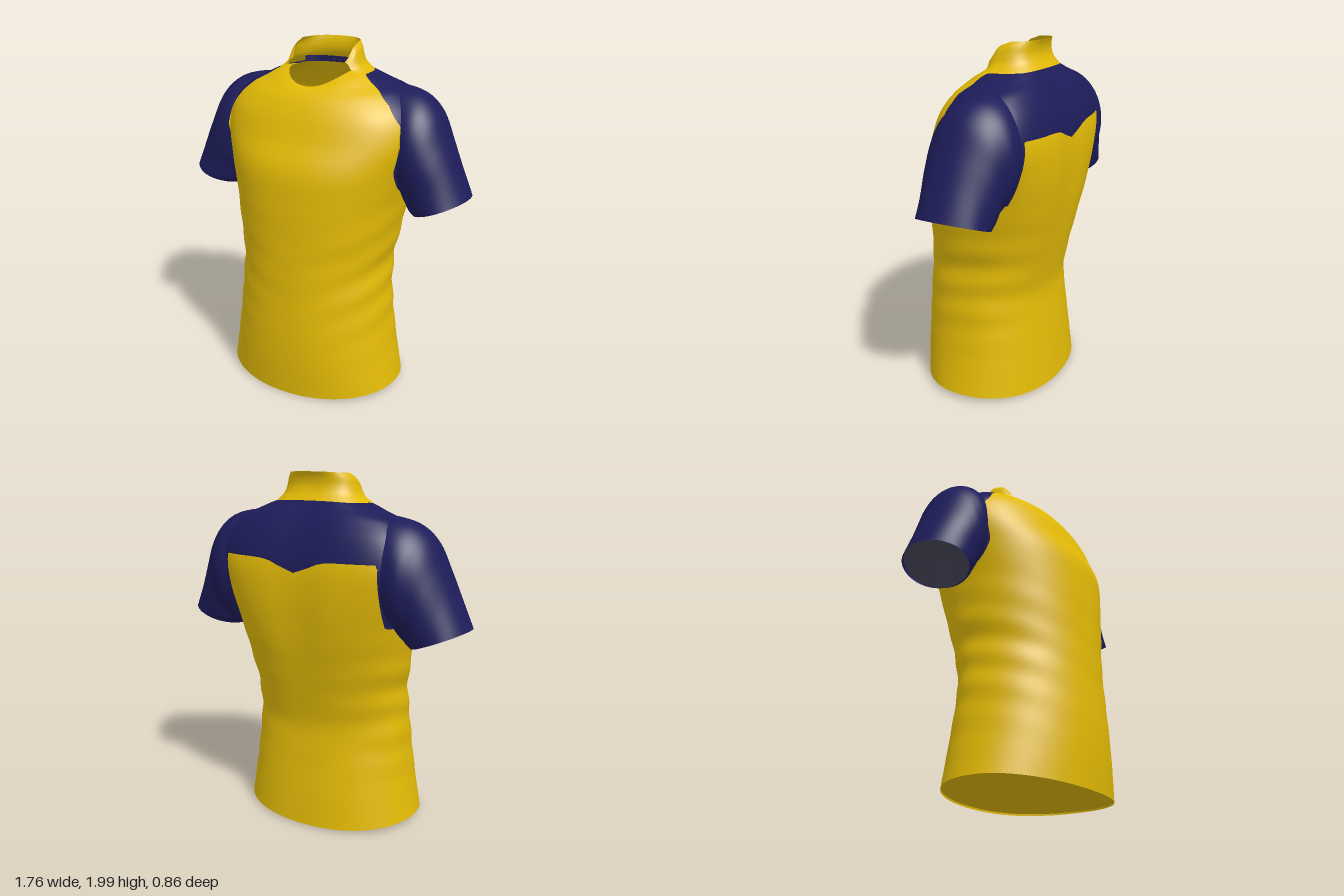
import * as THREE from 'three';

const mat = (name, color, side) => Object.assign(new THREE.MeshStandardMaterial({ color, side }), { name });

// Smooth interpolation through the rows of a table, t in 0..1
function sample(rows, t) {
  const p = t * (rows.length - 1), i = Math.min(Math.floor(p), rows.length - 2), f = p - i;
  const row = k => rows[Math.max(0, Math.min(rows.length - 1, k))];
  return rows[i].map((_, k) => {
    const a = row(i - 1)[k], b = row(i)[k], c = row(i + 1)[k], d = row(i + 2)[k];
    return b + 0.5 * f * (c - a + f * (2 * a - 5 * b + 4 * c - d + f * (3 * (b - c) + d - a)));
  });
}

// Linear lookup in [key, value] pairs
function lookup(table, key) {
  for (let i = 1; i < table.length; i++) {
    const [k0, v0] = table[i - 1], [k1, v1] = table[i];
    if (key <= k1) return v0 + (v1 - v0) * Math.max(0, (key - k0) / (k1 - k0));
  }
  return table[table.length - 1][1];
}

const spow = (v, n) => Math.sign(v) * Math.abs(v) ** (2 / n);

// Surface from point(u, v): v runs along each loop, u from loop to loop
function grid(point, nu, nv, closed = true, flip = false) {
  const pos = [], index = [], cols = closed ? nv : nv + 1;
  for (let i = 0; i <= nu; i++) for (let j = 0; j < cols; j++) pos.push(...point(i / nu, j / nv));
  for (let i = 0; i < nu; i++) for (let j = 0; j < nv; j++) {
    const k = (j + 1) % cols;
    const a = i * cols + j, b = i * cols + k, c = a + cols, d = b + cols;
    if (flip) index.push(a, c, b, b, c, d);
    else index.push(a, b, c, b, d, c);
  }
  const g = new THREE.BufferGeometry();
  g.setAttribute('position', new THREE.Float32BufferAttribute(pos, 3));
  g.setIndex(index);
  g.computeVertexNormals();
  return g;
}

// Keep the part of a surface where sign * field >= 0, cut cleanly along the seam
function cut(geo, field, sign) {
  const P = geo.attributes.position, N = geo.attributes.normal, pos = [], nor = [];
  const idx = geo.index.array;
  const vert = i => {
    const p = [P.getX(i), P.getY(i), P.getZ(i)];
    return { v: [...p, N.getX(i), N.getY(i), N.getZ(i)], f: sign * field(...p) };
  };
  for (let t = 0; t < idx.length; t += 3) {
    const tri = [vert(idx[t]), vert(idx[t + 1]), vert(idx[t + 2])], poly = [];
    tri.forEach((a, i) => {
      const b = tri[(i + 1) % 3];
      if (a.f >= 0) poly.push(a.v);
      if ((a.f >= 0) !== (b.f >= 0)) {
        const s = a.f / (a.f - b.f);
        poly.push(a.v.map((x, k) => x + (b.v[k] - x) * s));
      }
    });
    for (let i = 1; i + 1 < poly.length; i++) for (const q of [poly[0], poly[i], poly[i + 1]]) {
      pos.push(q[0], q[1], q[2]);
      nor.push(q[3], q[4], q[5]);
    }
  }
  const g = new THREE.BufferGeometry();
  g.setAttribute('position', new THREE.Float32BufferAttribute(pos, 3));
  g.setAttribute('normal', new THREE.Float32BufferAttribute(nor, 3));
  return g;
}

// Torso loops: side y, half width, mid z, front y, front z, back y, back z, front and back squareness
const TORSO = [
  [0.04, 0.54, 0.02, 0.01, 0.42, 0.015, -0.38, 2.1, 2.2],
  [0.2, 0.51, 0.01, 0.2, 0.43, 0.2, -0.36, 2.1, 2.2],
  [0.4, 0.48, 0, 0.4, 0.43, 0.4, -0.335, 2.1, 2.2],
  [0.6, 0.46, -0.01, 0.6, 0.42, 0.6, -0.315, 2.1, 2.2],
  [0.78, 0.45, -0.03, 0.78, 0.415, 0.78, -0.345, 2.1, 2.3],
  [0.95, 0.475, -0.05, 0.95, 0.41, 0.95, -0.38, 2.15, 2.4],
  [1.15, 0.505, -0.08, 1.15, 0.405, 1.15, -0.415, 2.2, 2.7],
  [1.33, 0.55, -0.1, 1.35, 0.385, 1.35, -0.432, 2.25, 3],
  [1.5, 0.6, -0.12, 1.5, 0.315, 1.52, -0.425, 2.3, 3.1],
  [1.64, 0.58, -0.14, 1.62, 0.265, 1.66, -0.385, 2.3, 3],
  [1.745, 0.49, -0.15, 1.7, 0.22, 1.76, -0.33, 2.2, 2.7],
  [1.795, 0.38, -0.14, 1.745, 0.18, 1.82, -0.285, 2.15, 2.5],
  [1.835, 0.28, -0.1, 1.765, 0.15, 1.86, -0.26, 2.15, 2.4],
  [1.85, 0.19, -0.06, 1.77, 0.13, 1.87, -0.24, 2.15, 2.4],
];
function torsoPoint(u, v) {
  const [ys, w, zc, yf, zf, yb, zb, nf, nb] = sample(TORSO, u);
  const s = Math.sin(v * 2 * Math.PI), c = Math.cos(v * 2 * Math.PI), front = c >= 0;
  const n = front ? nf : nb;
  const y = ys + ((front ? yf : yb) - ys) * c * c;
  let x = w * spow(s, n), z = zc + Math.abs((front ? zf : zb) - zc) * spow(c, n);
  // diagonal cloth folds around the waist, a hollow down the spine
  const waist = Math.exp(-(((y - 0.72) / 0.33) ** 2));
  const fold = 1 + 0.011 * waist * (0.15 + s * s) * Math.sin(34 * y - 9 * Math.abs(x) + 6 * z + (x > 0 ? 0.8 : 0));
  if (!front) z += 0.02 * Math.exp(-((x / 0.14) ** 2)) * Math.min(1, Math.max(0, (y - 0.7) * 2));
  return [x * fold, y, z * fold];
}

// Sleeve loops: top x, top y, bottom x, bottom y, mid z, half depth
const SLEEVE = [
  [0.36, 1.79, 0.36, 1.26, -0.14, 0.17],
  [0.5, 1.772, 0.47, 1.21, -0.135, 0.22],
  [0.6, 1.735, 0.51, 1.17, -0.125, 0.238],
  [0.68, 1.655, 0.525, 1.14, -0.115, 0.232],
  [0.745, 1.52, 0.54, 1.12, -0.105, 0.218],
  [0.81, 1.37, 0.555, 1.1, -0.098, 0.208],
  [0.88, 1.21, 0.575, 1.09, -0.092, 0.2],
];
const sleevePoint = side => (u, v) => {
  const [tx, ty, bx, by, zc, hz] = sample(SLEEVE, u);
  const a = v * 2 * Math.PI, c = Math.cos(a), s = Math.sin(a);
  const k = 1 + 0.014 * u * Math.sin(3 * a + 16 * u);
  return [side * ((tx + bx) / 2 + (tx - bx) / 2 * c), (ty + by) / 2 + (ty - by) / 2 * c, zc + hz * k * s];
};

// Seam between body and sleeves: positive on the sleeve and yoke side
const RAGLAN = [[1.2, 0.515], [1.35, 0.515], [1.5, 0.55], [1.6, 0.535], [1.7, 0.46], [1.76, 0.39], [1.8, 0.32], [1.84, 0.26], [1.9, 0.2]];
function seam(x, y, z) {
  const ax = Math.abs(x), front = ax - lookup(RAGLAN, y);
  if (z > -0.1) return front;
  return Math.max(front, ax - 0.48, y - 1.55 + 0.07 * Math.exp(-((x / 0.12) ** 2)));
}
const torsoSeam = (x, y, z) => Math.min(seam(x, y, z), y - 1.2);
const sleeveSeam = (x, y, z) => Math.max(seam(x, y, z), 1.3 - y);

// Standing collar, open at the front: half width, side y, back z, back y
const COLLAR = [
  [0.275, 1.835, -0.275, 1.85],
  [0.23, 1.88, -0.248, 1.89],
  [0.212, 1.925, -0.235, 1.93],
  [0.2, 1.965, -0.238, 1.97],
  [0.18, 1.992, -0.25, 2.0],
];
function collarPoint(u, v) {
  const [w, ys, zb, yb] = sample(COLLAR, u);
  const start = 1.03, a = start + v * 2 * (Math.PI - start), c = Math.cos(a);
  const rise = 0.36 + 0.64 * THREE.MathUtils.smoothstep(Math.min(a, 2 * Math.PI - a), start - 0.1, 1.8);
  const full = ys + (yb - ys) * (c < 0 ? c * c : 0);
  const z = -0.08 + (c < 0 ? Math.abs(zb + 0.08) : 0.13) * spow(c, 2.8);
  return [w * spow(Math.sin(a), 2.8), 1.835 + (full - 1.835) * rise, z];
}

export function createModel() {
  const yellow = mat('yellow cloth', 0xe2ba06, THREE.DoubleSide);
  const navy = mat('navy cloth', 0x1d1c59, THREE.DoubleSide);
  const navyOuter = mat('navy outer cloth', 0x1d1c59, THREE.FrontSide);
  const lining = mat('yellow lining', 0xe2ba06, THREE.BackSide);
  const grey = mat('sleeve lining', 0x4a4a5e, THREE.DoubleSide);

  const model = new THREE.Group();
  model.name = 'shirt';
  const add = (name, geo, material) => {
    const m = new THREE.Mesh(geo, material);
    m.name = name;
    model.add(m);
  };

  // Body and back yoke
  const torso = grid(torsoPoint, 104, 112);
  add('body', cut(torso, torsoSeam, -1), yellow);
  const yoke = cut(torso, torsoSeam, 1);
  add('yoke', yoke, navyOuter);
  add('yokeLining', yoke, lining);

  // Closed inside just above the hem
  const inner = (u, v) => {
    const [x, y, z] = torsoPoint(0.008, v);
    return [x * (1 - u), y + (0.06 - y) * u, z * (1 - u) + 0.03 * u];
  };
  add('innerBody', grid(inner, 8, 64), yellow);

  // Sleeves with closed insides
  for (const side of [1, -1]) {
    const label = side > 0 ? 'left' : 'right', point = sleevePoint(side);
    const sleeve = grid(point, 40, 56, true, side < 0);
    add(label + 'Sleeve', cut(sleeve, sleeveSeam, 1), navy);
    add(label + 'SleeveSeam', cut(sleeve, sleeveSeam, -1), yellow);
    const cap = (u, v) => {
      const p = point(0.95, v), a = point(0.95, 0), b = point(0.95, 0.5);
      const mid = [(a[0] + b[0]) / 2, (a[1] + b[1]) / 2 + 0.04, -0.1];
      return p.map((q, i) => q + (mid[i] - q) * u);
    };
    add(label + 'SleeveInside', grid(cap, 4, 40, true, side < 0), grey);
  }

  // Collar and the tape inside the back of the neck
  add('collar', grid(collarPoint, 16, 80, false), yellow);
  const tape = (u, v) => {
    const a = Math.PI * (0.62 + 0.76 * v);
    return [0.185 * spow(Math.sin(a), 2.8), 1.852 + 0.034 * u, -0.08 + 0.146 * spow(Math.cos(a), 2.8)];
  };
  add('neckTape', grid(tape, 1, 32, false), navy);
  return model;
}
